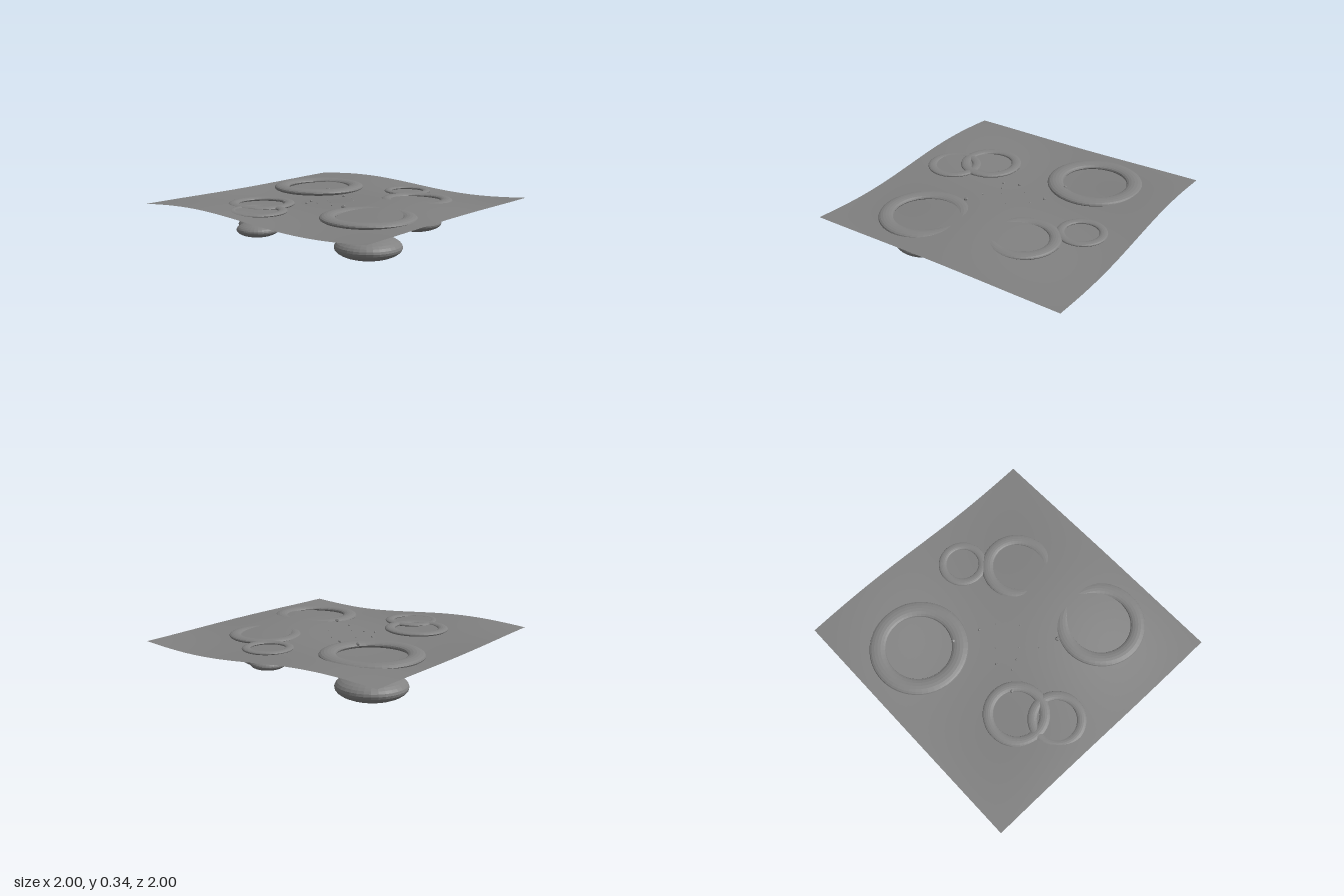
import * as THREE from 'three';

const BASE = 0.305;

// Gently rolling ground height
const groundHeight = (x, z) => BASE + 0.03 * Math.sin(3 * x) * Math.cos(3 * z);

// Each crater: x, z, ring radius, tube radius, bowl radius, bowl centre y, bowl half height
const CRATERS = [
  [-0.53, -0.375, 0.3, 0.06, 0.255, 0.09, 0.09],
  [0.56, 0.395, 0.277, 0.053, 0.232, 0.112, 0.082],
  [0.435, -0.36, 0.222, 0.043, 0.19, 0.145, 0.067],
  [-0.355, 0.47, 0.202, 0.038, 0.17, 0.164, 0.058],
  [-0.175, 0.695, 0.175, 0.034, 0.148, 0.184, 0.051],
  [0.15, -0.655, 0.15, 0.03, 0.127, 0.202, 0.043],
];

// Each pebble: x, z, radius, lift above the ground
const PEBBLES = [
  [-0.317, -0.24, 0.016, 0.035], [-0.115, -0.18, 0.011, 0.004],
  [-0.203, 0.098, 0.01, 0.004], [-0.152, 0.21, 0.009, 0.004],
  [-0.077, 0.174, 0.007, 0.003], [0.1, 0.223, 0.007, 0.003],
  [0.245, 0.268, 0.016, 0.008], [-0.265, 0.325, 0.014, 0.02],
  [0, -0.13, 0.005, 0.001], [0, 0.12, 0.005, 0.001],
  [0.122, 0, 0.005, 0], [-0.125, 0, 0.005, 0],
];

export function createModel() {
  const model = new THREE.Group();
  model.name = 'crateredGround';

  const soil = new THREE.MeshStandardMaterial({ color: 0x808080, side: THREE.DoubleSide });
  soil.name = 'grey soil';
  const rock = new THREE.MeshStandardMaterial({ color: 0x828282, flatShading: true });
  rock.name = 'grey rock';

  const add = (name, geometry, material, x, y, z) => {
    const mesh = new THREE.Mesh(geometry, material);
    mesh.name = name;
    mesh.position.set(x, y, z);
    model.add(mesh);
    return mesh;
  };

  // Ground sheet
  const sheet = new THREE.PlaneGeometry(2, 2, 64, 64).rotateX(-Math.PI / 2);
  const p = sheet.attributes.position;
  for (let i = 0; i < p.count; i++) p.setY(i, groundHeight(p.getX(i), p.getZ(i)));
  sheet.computeVertexNormals();
  add('ground', sheet, soil, 0, 0, 0);

  // Crater rims on the ground, with a flattened bowl hanging below each
  CRATERS.forEach(([x, z, ring, tube, bowl, bowlY, bowlH], i) => {
    const rim = new THREE.TorusGeometry(ring, tube, 16, 48).rotateX(Math.PI / 2).scale(1, 0.4, 1);
    add(`craterRim${i + 1}`, rim, rock, x, 0.311, z);
    const dish = new THREE.SphereGeometry(1, 32, 16).scale(bowl, bowlH, bowl);
    add(`craterBowl${i + 1}`, dish, rock, x, bowlY, z);
  });

  // Scattered pebbles
  PEBBLES.forEach(([x, z, r, lift], i) => {
    const pebble = add(`pebble${i + 1}`, new THREE.DodecahedronGeometry(r), rock,
      x, groundHeight(x, z) + lift, z);
    pebble.rotation.set(i, i * 1.7, i * 0.6);
  });

  return model;
}
